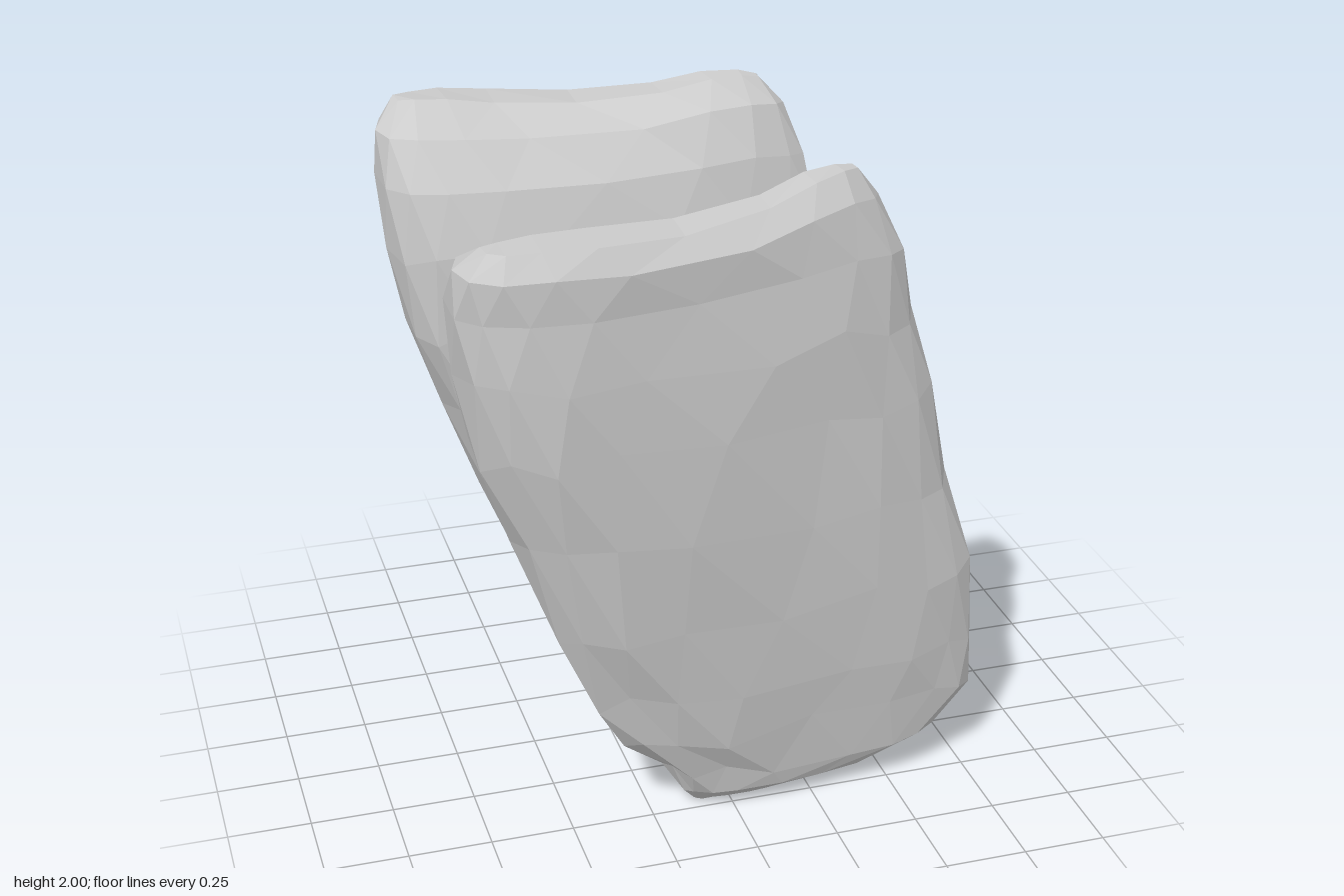
import * as THREE from 'three';

const SIDES = 18;

// Cross-sections from bottom to top:
// y, left x, right x, then inner/outer depth at the left end and at the right end
const SECTIONS = [
  [0.01, -0.11, 0.16, 0.43, 0.48, 0.43, 0.48],
  [0.06, -0.15, 0.44, 0.37, 0.54, 0.38, 0.52],
  [0.14, -0.21, 0.68, 0.32, 0.57, 0.35, 0.53],
  [0.28, -0.35, 0.79, 0.29, 0.62, 0.33, 0.53],
  [0.45, -0.45, 0.79, 0.27, 0.65, 0.31, 0.55],
  [0.70, -0.55, 0.76, 0.25, 0.70, 0.30, 0.57],
  [1.00, -0.66, 0.67, 0.23, 0.75, 0.285, 0.58],
  [1.30, -0.76, 0.60, 0.215, 0.785, 0.28, 0.59],
  [1.55, -0.81, 0.545, 0.22, 0.80, 0.28, 0.59],
  [1.74, -0.82, 0.50, 0.27, 0.79, 0.31, 0.58],
  [1.87, -0.81, 0.43, 0.37, 0.77, 0.34, 0.54],
  [1.94, -0.74, 0.36, 0.54, 0.71, 0.39, 0.49],
];

function seeded(seed) {
  return () => {
    seed = (seed * 16807) % 2147483647;
    return seed / 2147483647 - 0.5;
  };
}

const softPow = (v, e) => Math.sign(v) * Math.pow(Math.abs(v), e);
const { lerp, smoothstep } = THREE.MathUtils;
const bump = (x, centre, width) => Math.exp(-(((x - centre) / width) ** 2));

// The top edge dips left of the middle and rises to a peak on the right
function topLift(x, y, leftLift) {
  const shape = 0.055 * bump(x, 0.3, 0.2) - 0.02 * bump(x, -0.2, 0.3) + leftLift * bump(x, -0.75, 0.3);
  return smoothstep(y, 1.6, 1.94) * shape;
}

// side: +1 front slab, -1 back slab; edgeShift moves the thin edges inward,
// reach moves the lower right corner, leftLift raises the top left corner
function slabGeometry({ side, edgeShift, reach, leftLift, seed }) {
  const rand = seeded(seed);
  const pos = [];
  const index = [];
  const tri = (a, b, c) => (side > 0 ? index.push(a, b, c) : index.push(a, c, b));

  SECTIONS.forEach(([y, xl, xr, inL, outL, inR, outR], r) => {
    const rough = r === 0 ? 0.004 : 0.016;
    const bow = 0.05 * smoothstep(y, 1.7, 1.94);
    for (let i = 0; i < SIDES; i++) {
      const a = ((i + (r % 2) * 0.5) / SIDES) * Math.PI * 2;
      const u = softPow(Math.cos(a), 0.72);
      const v = softPow(Math.sin(a), 0.66);
      const t = (u + 1) / 2;
      const x = lerp(xl, xr, t) + (u > 0.8 && y < 0.5 ? reach : 0);
      const zi = lerp(inL, inR, t);
      const zo = lerp(outL, outR, t);
      const shift = edgeShift * u ** 4 * Math.min(1, (zo - zi) * 4);
      const z = (zi + zo) / 2 + (v * (zo - zi)) / 2 + bow * (1 - u * u) - shift;
      const slide = r > 1 && r < 9 ? 0.07 : 0.006;
      pos.push(
        x + rand() * rough * 0.6,
        y + topLift(x, y, leftLift) + rand() * slide,
        side * (z + rand() * rough * 0.8)
      );
    }
  });

  // Skin between neighbouring sections, which are staggered by half a step
  for (let r = 0; r < SECTIONS.length - 1; r++) {
    for (let i = 0; i < SIDES; i++) {
      const j = (i + 1) % SIDES;
      const a = r * SIDES + i, b = r * SIDES + j;
      const c = a + SIDES, d = b + SIDES;
      if (r % 2) {
        tri(a, c, d);
        tri(a, d, b);
      } else {
        tri(a, c, b);
        tri(b, c, d);
      }
    }
  }

  // Closing fan at the bottom
  const bottom = pos.length / 3;
  pos.push(0.02, 0, side * 0.45);
  for (let i = 0; i < SIDES; i++) tri(bottom, i, (i + 1) % SIDES);

  // Narrow strip across the top, joining the outer and inner rims
  const last = (SECTIONS.length - 1) * SIDES;
  const rim = (i) => last + ((i + SIDES) % SIDES);
  for (let i = 0; i < SIDES / 2; i++) {
    const outA = rim(i), outB = rim(i + 1);
    const inA = rim(-1 - i), inB = rim(-2 - i);
    tri(outA, inA, outB);
    tri(outB, inA, inB);
  }

  const geo = new THREE.BufferGeometry();
  geo.setAttribute('position', new THREE.Float32BufferAttribute(pos, 3));
  geo.setIndex(index);
  const flat = geo.toNonIndexed();
  flat.computeVertexNormals();
  return flat;
}

export function createModel() {
  const group = new THREE.Group();
  group.name = 'stoneSlabs';
  const material = new THREE.MeshStandardMaterial({ color: 0xcccccc, flatShading: true });

  const slabs = [
    { name: 'frontSlab', side: 1, edgeShift: 0, reach: -0.01, leftLift: -0.01, seed: 41 },
    { name: 'backSlab', side: -1, edgeShift: 0.045, reach: 0.025, leftLift: 0.025, seed: 977 },
  ];
  for (const slab of slabs) {
    const mesh = new THREE.Mesh(slabGeometry(slab), material);
    mesh.name = slab.name;
    group.add(mesh);
  }
  return group;
}
